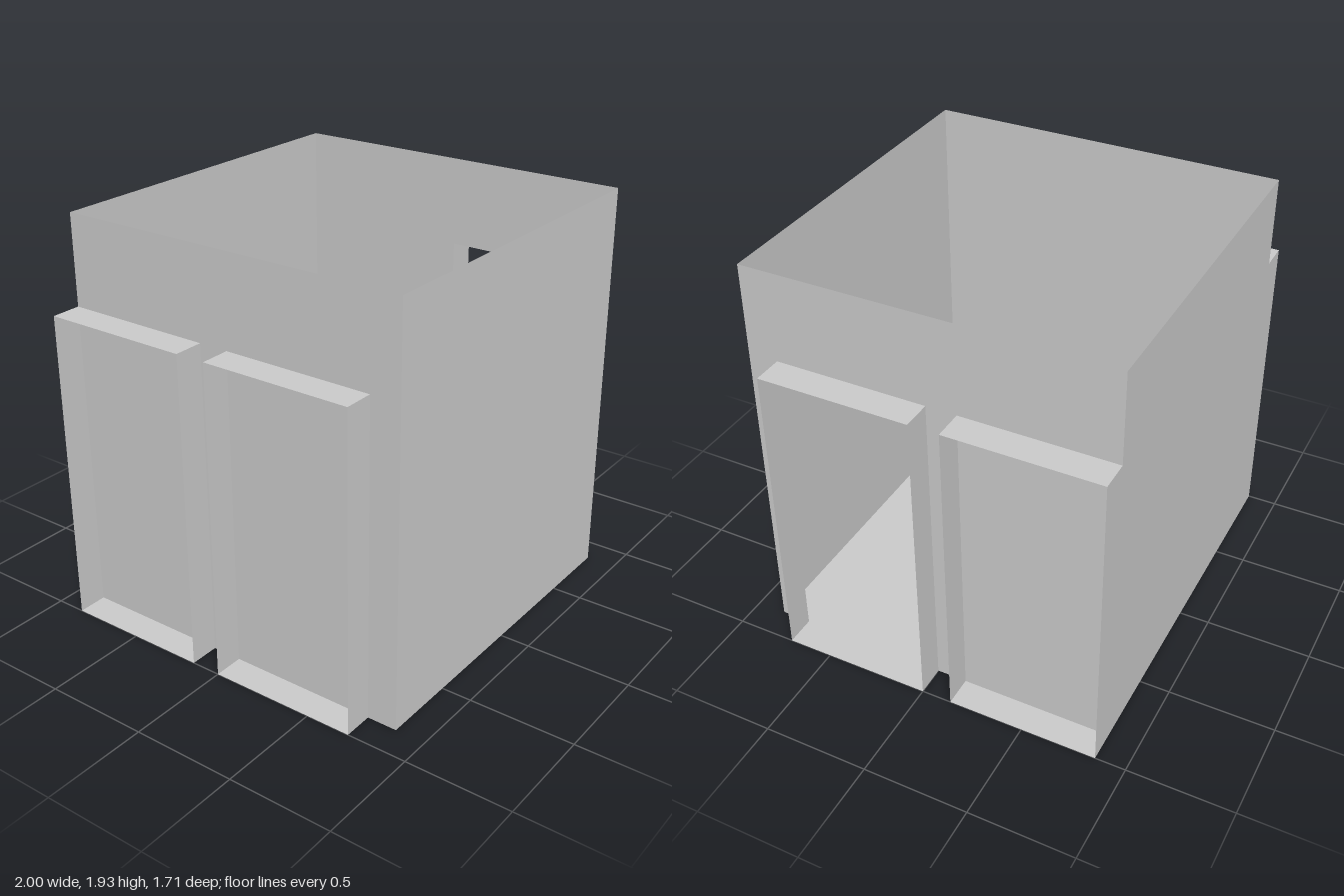
import * as THREE from 'three';

const U = 1 / 7;            // modular unit
const HALF = 6 * U;         // half width of the room
const HEIGHT = 13.5 * U;    // wall height
const BAY_TOP = 10.5 * U;   // height of the side frames
const BAYS = [[-6 * U, -U], [0, 5 * U]]; // z ranges of the rear and front frames

const material = new THREE.MeshStandardMaterial({ color: 0xcccccc, side: THREE.DoubleSide });

// Thin sheet from an outline of [a, b] points
function sheet(name, points) {
  const shape = new THREE.Shape(points.map(([a, b]) => new THREE.Vector2(a, b)));
  const mesh = new THREE.Mesh(new THREE.ShapeGeometry(shape), material);
  mesh.name = name;
  return mesh;
}

const rect = (a0, a1, b0, b1) => [[a0, b0], [a1, b0], [a1, b1], [a0, b1]];

// Sheet across x and y at a given z
function facingZ(name, z, points) {
  const mesh = sheet(name, points);
  mesh.geometry.translate(0, 0, z);
  return mesh;
}

// Sheet across z and y at a given x
function facingX(name, x, points) {
  const mesh = sheet(name, points);
  mesh.geometry.rotateY(-Math.PI / 2).translate(x, 0, 0);
  return mesh;
}

// Level sheet across x and z at a given y
function level(name, y, points) {
  const mesh = sheet(name, points);
  mesh.geometry.rotateX(Math.PI / 2).translate(0, y, 0);
  return mesh;
}

// Open box frame projecting from a side wall
function sideFrame(name, side, z0, z1) {
  const frame = new THREE.Group();
  frame.name = name;
  const [x0, x1] = side > 0 ? [HALF, 1] : [-1, -HALF];
  frame.add(
    level('frameSill', 0, rect(x0, x1, z0, z1)),
    level('frameTop', BAY_TOP, rect(x0, x1, z0, z1)),
    facingZ('frameRearJamb', z0, rect(x0, x1, 0, BAY_TOP)),
    facingZ('frameFrontJamb', z1, rect(x0, x1, 0, BAY_TOP)),
  );
  return frame;
}

export function createModel() {
  const model = new THREE.Group();
  model.name = 'openRoom';

  // Floor and plain walls, open at the top
  const wall = rect(-HALF, HALF, 0, HEIGHT);
  model.add(
    level('floor', 0, rect(-HALF, HALF, -HALF, HALF)),
    facingZ('frontWall', HALF, wall),
    facingZ('backWall', -HALF, wall),
    facingX('rightWall', -HALF, wall),
  );

  // Left wall with the doorway cut through behind its front frame
  const [d0, d1] = BAYS[1];
  model.add(facingX('leftWall', HALF, [
    [-HALF, 0], [d0, 0], [d0, BAY_TOP], [d1, BAY_TOP], [d1, 0],
    [HALF, 0], [HALF, HEIGHT], [-HALF, HEIGHT],
  ]));

  // Two frames on each side
  for (const side of [-1, 1]) {
    BAYS.forEach(([z0, z1], i) => {
      const name = (side > 0 ? 'left' : 'right') + (i ? 'Front' : 'Rear') + 'Frame';
      model.add(sideFrame(name, side, z0, z1));
    });
  }
  return model;
}
